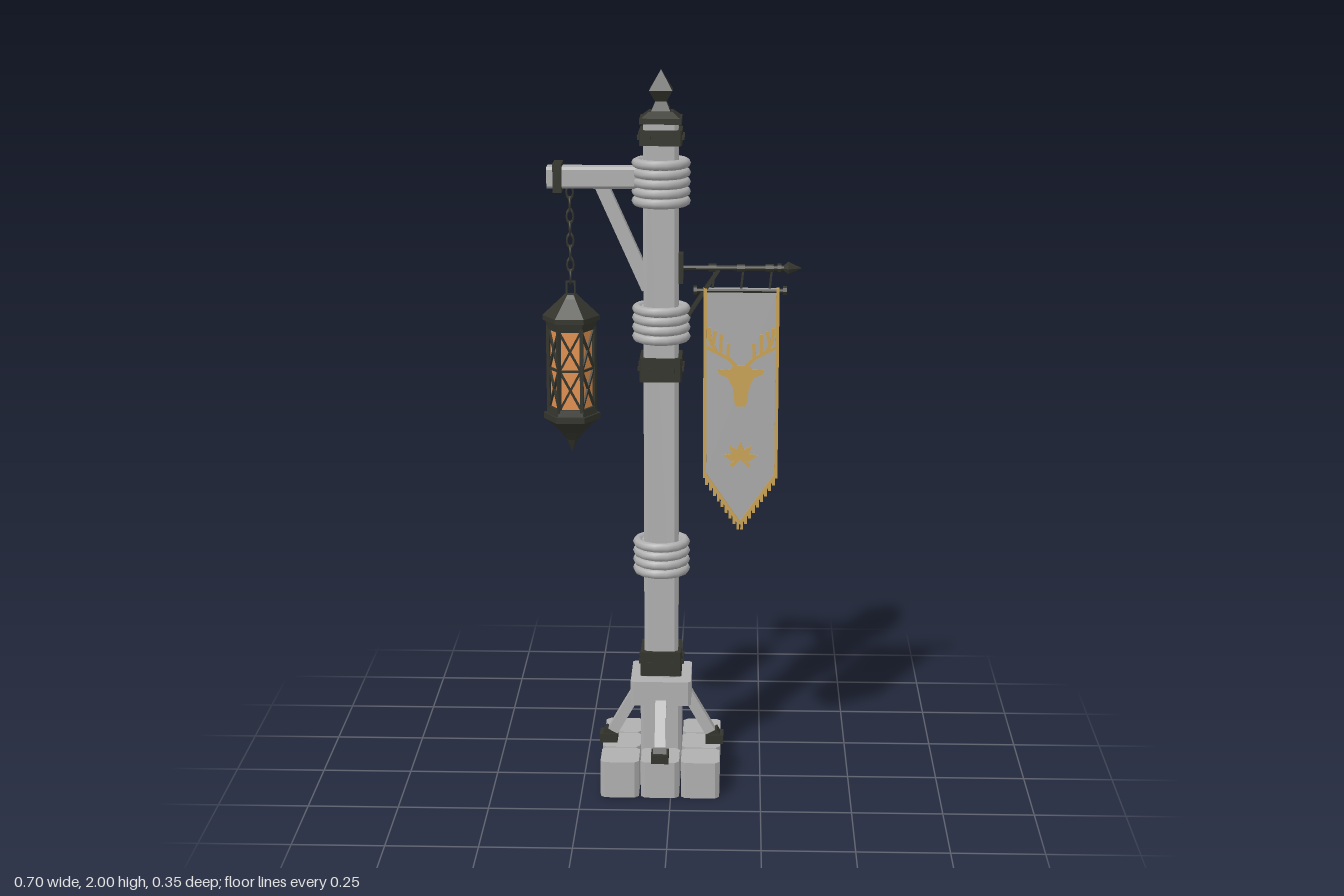
import * as THREE from 'three';

const mat = (name, color, side = THREE.FrontSide) => {
  const m = new THREE.MeshStandardMaterial({ color, side });
  m.name = name;
  return m;
};

export function createModel() {
  const stone = mat('stone', 0xb0b0b0);
  const iron = mat('iron', 0x34342d);
  const glow = mat('lantern glass', 0xe2914f);
  const gold = mat('gold trim', 0xc9a356);
  const cloth = mat('banner cloth', 0xaaaaaa);
  const model = new THREE.Group();
  const PX = -0.03; // post axis

  const group = (name, x = 0, y = 0, z = 0, parent = model) => {
    const g = new THREE.Group();
    g.name = name;
    g.position.set(x, y, z);
    parent.add(g);
    return g;
  };
  const add = (parent, name, geo, m, x = 0, y = 0, z = 0) => {
    const mesh = new THREE.Mesh(geo, m);
    mesh.name = name;
    mesh.position.set(x, y, z);
    parent.add(mesh);
    return mesh;
  };
  const flat = (geo) => {
    const g = geo.index ? geo.toNonIndexed() : geo;
    g.computeVertexNormals();
    return g;
  };
  const poly = (pts) => new THREE.Shape(pts.map(([x, y]) => new THREE.Vector2(x, y)));
  // Upright block with chamfered vertical edges, standing on y = 0
  const block = (w, h, d, c) => {
    const a = w / 2, b = d / 2;
    const s = poly([[-a + c, -b], [a - c, -b], [a, -b + c], [a, b - c], [a - c, b], [-a + c, b], [-a, b - c], [-a, -b + c]]);
    return new THREE.ExtrudeGeometry(s, { depth: h, bevelEnabled: false }).rotateX(-Math.PI / 2);
  };
  // Slab cut from an outline, centred on z = 0
  const plate = (shape, t) => new THREE.ExtrudeGeometry(shape, { depth: t, bevelEnabled: false }).translate(0, 0, -t / 2);
  // Straight bar from a to b
  const bar = (parent, name, a, b, w, d, m) => {
    const A = new THREE.Vector3(...a), B = new THREE.Vector3(...b);
    const dir = B.clone().sub(A);
    const mesh = add(parent, name, new THREE.BoxGeometry(w, dir.length(), d), m);
    mesh.position.copy(A).add(B).multiplyScalar(0.5);
    mesh.quaternion.setFromUnitVectors(new THREE.Vector3(0, 1, 0), dir.normalize());
    return mesh;
  };

  // Paved base of nine stones
  const base = group('base', PX);
  for (let i = -1; i <= 1; i++)
    for (let k = -1; k <= 1; k++)
      add(base, 'baseStone', block(0.107, 0.105, 0.107, 0.012), stone, i * 0.112, 0, k * 0.112);
  add(base, 'pedestalNeck', block(0.115, 0.17, 0.115, 0.01), stone, 0, 0.08);
  add(base, 'pedestalBlock', block(0.168, 0.07, 0.172, 0.008), stone, 0, 0.243);

  // Four raking struts with iron feet
  for (let i = 0; i < 4; i++) {
    const side = group('strutAssembly', 0, 0, 0, base);
    side.rotation.y = i * Math.PI / 2;
    bar(side, 'strut', [0, 0.115, 0.15], [0, 0.265, 0.065], 0.03, 0.03, stone);
    add(side, 'strutFoot', new THREE.BoxGeometry(0.048, 0.026, 0.05), iron, 0, 0.118, 0.15);
    bar(side, 'footCuff', [0, 0.12, 0.151], [0, 0.138, 0.141], 0.037, 0.037, iron);
  }

  // Post with iron bands and bolts
  const post = group('post', PX);
  add(post, 'shaft', block(0.094, 1.56, 0.094, 0.01), stone, 0, 0.3);
  for (const [y, h] of [[0.32, 0.07], [1.165, 0.065], [1.805, 0.04]]) {
    add(post, 'ironBand', block(0.114, h, 0.114, 0.004), iron, 0, y);
    for (let i = 0; i < 4; i++) {
      const side = group('bandBolts', 0, y + h / 2, 0, post);
      side.rotation.y = i * Math.PI / 2;
      for (const x of [-0.031, 0.031])
        add(side, 'bolt', new THREE.BoxGeometry(0.012, 0.012, 0.008), iron, x, 0, 0.059);
    }
  }

  // Rope bindings
  for (const [y, n] of [[0.66, 4], [1.32, 4], [1.703, 5]]) {
    add(post, 'ropeCore', flat(new THREE.CylinderGeometry(0.068, 0.068, n * 0.025 - 0.01, 14)), stone, 0, y);
    for (let i = 0; i < n; i++) {
      const ring = new THREE.TorusGeometry(0.066, 0.0135, 8, 14).rotateX(Math.PI / 2);
      add(post, 'ropeRing', ring, stone, 0, y + (i - (n - 1) / 2) * 0.0255);
    }
  }

  // Cap and four-sided finial
  const square = (r1, r2, h) => flat(new THREE.CylinderGeometry(r1 * Math.SQRT2, r2 * Math.SQRT2, h, 4).rotateY(Math.PI / 4));
  add(post, 'capPlate', square(0.056, 0.056, 0.015), iron, 0, 1.869);
  add(post, 'capSlope', square(0.032, 0.052, 0.016), iron, 0, 1.884);
  add(post, 'finialNeck', square(0.015, 0.026, 0.026), iron, 0, 1.904);
  add(post, 'finialFlare', square(0.031, 0.015, 0.03), iron, 0, 1.932);
  add(post, 'finialTip', square(0.0005, 0.031, 0.053), iron, 0, 1.9735);

  // Lantern arm
  const arm = group('lanternArm');
  add(arm, 'beam', block(0.058, 0.26, 0.056, 0.007).rotateZ(Math.PI / 2), stone, -0.075, 1.715);
  add(arm, 'beamBand', new THREE.BoxGeometry(0.024, 0.078, 0.07), iron, -0.306, 1.715);
  bar(arm, 'beamBrace', [-0.19, 1.695], [-0.065, 1.415], 0.036, 0.036, stone);

  // Chain
  const lantern = group('lantern', -0.275);
  for (let i = 0; i < 8; i++) {
    const link = new THREE.TorusGeometry(0.009, 0.003, 5, 10).scale(1, 2, 1);
    add(lantern, 'chainLink', link, iron, 0, 1.674 - i * 0.033).rotation.y = (i % 2) * Math.PI / 2;
  }
  for (const x of [-0.011, 0.011])
    add(lantern, 'handleSide', new THREE.BoxGeometry(0.005, 0.04, 0.006), iron, x, 1.41);
  add(lantern, 'handleTop', new THREE.BoxGeometry(0.027, 0.005, 0.006), iron, 0, 1.43);

  // Six-sided lantern housing
  const hex = (rTop, rBottom, yTop, yBottom, name, m = iron) =>
    add(lantern, name, flat(new THREE.CylinderGeometry(rTop, rBottom, yTop - yBottom, 6).rotateY(Math.PI / 6)), m, 0, (yTop + yBottom) / 2);
  hex(0.018, 0.027, 1.396, 1.386, 'roofCap');
  hex(0.027, 0.078, 1.386, 1.338, 'roof');
  hex(0.078, 0.078, 1.338, 1.325, 'roofRim');
  hex(0.07, 0.066, 1.325, 1.3, 'upperFrame');
  hex(0.058, 0.058, 1.3, 1.08, 'glass', glow);
  hex(0.066, 0.07, 1.085, 1.066, 'lowerFrame');
  hex(0.078, 0.078, 1.066, 1.05, 'lowerRim');
  hex(0.074, 0.036, 1.05, 1.015, 'bowl');
  hex(0.036, 0.016, 1.015, 0.99, 'lowerBowl');
  hex(0.016, 0.001, 0.99, 0.957, 'bottomSpike');
  for (let i = 0; i < 6; i++) {
    const side = group('lanternPanel', 0, 0, 0, lantern);
    side.rotation.y = i * Math.PI / 3;
    bar(side, 'cornerPost', [0.031, 1.075, 0.0535], [0.031, 1.31, 0.0535], 0.01, 0.01, iron);
    bar(side, 'middleRail', [-0.031, 1.192, 0.053], [0.031, 1.192, 0.053], 0.006, 0.006, iron);
    for (const y of [1.085, 1.192])
      for (const s of [-1, 1])
        bar(side, 'crossBar', [-0.029 * s, y, 0.053], [0.029 * s, y + 0.108, 0.053], 0.006, 0.006, iron);
  }

  // Banner pole
  const pole = group('bannerPole', 0, 1.47);
  const rod = (name, x1, x2, r1, r2, y = 0, n = 8) =>
    add(pole, name, flat(new THREE.CylinderGeometry(r2, r1, x2 - x1, n).rotateZ(-Math.PI / 2)), iron, (x1 + x2) / 2, y);
  add(pole, 'wallPlate', new THREE.BoxGeometry(0.014, 0.08, 0.048), iron, 0.023, 0);
  rod('poleShaft', 0.02, 0.315, 0.0075, 0.0075);
  rod('poleCollar', 0.283, 0.293, 0.013, 0.013);
  rod('poleTip', 0.312, 0.348, 0.018, 0.0005);
  rod('poleTipBase', 0.3, 0.312, 0.008, 0.018);
  bar(pole, 'poleBrace', [0.02, -0.165, 0], [0.125, -0.004, 0], 0.011, 0.011, iron);
  rod('bannerRod', 0.062, 0.304, 0.007, 0.007, -0.062);
  for (const x of [0.062, 0.304]) rod('rodKnob', x - 0.005, x + 0.005, 0.013, 0.013, -0.062);
  for (const x of [0.108, 0.185, 0.262]) {
    rod('hookCollar', x - 0.011, x + 0.011, 0.0115, 0.0115);
    bar(pole, 'hook', [x + 0.006, -0.005, 0], [x, -0.062, 0], 0.006, 0.007, iron);
  }

  // Banner cloth with gold edges and a toothed fringe
  const banner = group('banner', 0.187);
  const W = 0.098, top = 1.415, low = 0.895, tip = 0.752;
  add(banner, 'cloth', plate(poly([[-W, low], [0, tip], [W, low], [W, top], [-W, top]]), 0.01), cloth);
  for (const s of [-1, 1]) {
    bar(banner, 'sideTrim', [s * W, low - 0.01, 0], [s * W, top, 0], 0.009, 0.022, gold);
    bar(banner, 'lowerTrim', [s * W, low, 0], [0, tip, 0], 0.009, 0.02, gold);
    const n = 9;
    for (let i = 0; i < n; i++) {
      const x = s * W * (1 - (i + 0.5) / n), y = low + (tip - low) * (i + 0.5) / n;
      add(banner, 'fringeTassel', new THREE.BoxGeometry(0.008, 0.026, 0.012), gold, x, y - 0.011);
    }
  }

  // Stag head and leaf spray, showing on both faces
  const T = 0.016;
  const head = [[0.014, 1.088], [0.018, 1.105], [0.022, 1.14], [0.036, 1.168], [0.06, 1.178], [0.064, 1.192], [0.03, 1.19], [0.02, 1.203]];
  const mirrored = head.map(([x, y]) => [-x, y]).reverse();
  add(banner, 'stagHead', plate(poly([...head, ...mirrored]), T), gold);
  const antler = [
    [0.012, 1.198, 0.036, 1.222], [0.036, 1.222, 0.066, 1.238], [0.066, 1.238, 0.084, 1.268], [0.084, 1.268, 0.088, 1.306],
    [0.036, 1.222, 0.034, 1.262], [0.056, 1.233, 0.054, 1.288], [0.078, 1.256, 0.07, 1.298], [0.066, 1.238, 0.092, 1.252],
  ];
  for (const s of [-1, 1])
    for (const [x1, y1, x2, y2] of antler)
      bar(banner, 'antler', [s * x1, y1, 0], [s * x2, y2, 0], 0.009, T, gold);
  const leaf = poly([[0, 0], [0.011, 0.022], [0, 0.05], [-0.011, 0.022]]);
  for (const a of [-1.35, -0.68, 0, 0.68, 1.35])
    add(banner, 'leaf', plate(leaf, T), gold, 0, 0.938).rotation.z = a;
  for (const s of [-1, 1])
    bar(banner, 'leafStem', [0, 0.942, 0], [s * 0.026, 0.918, 0], 0.009, T, gold);

  return model;
}
